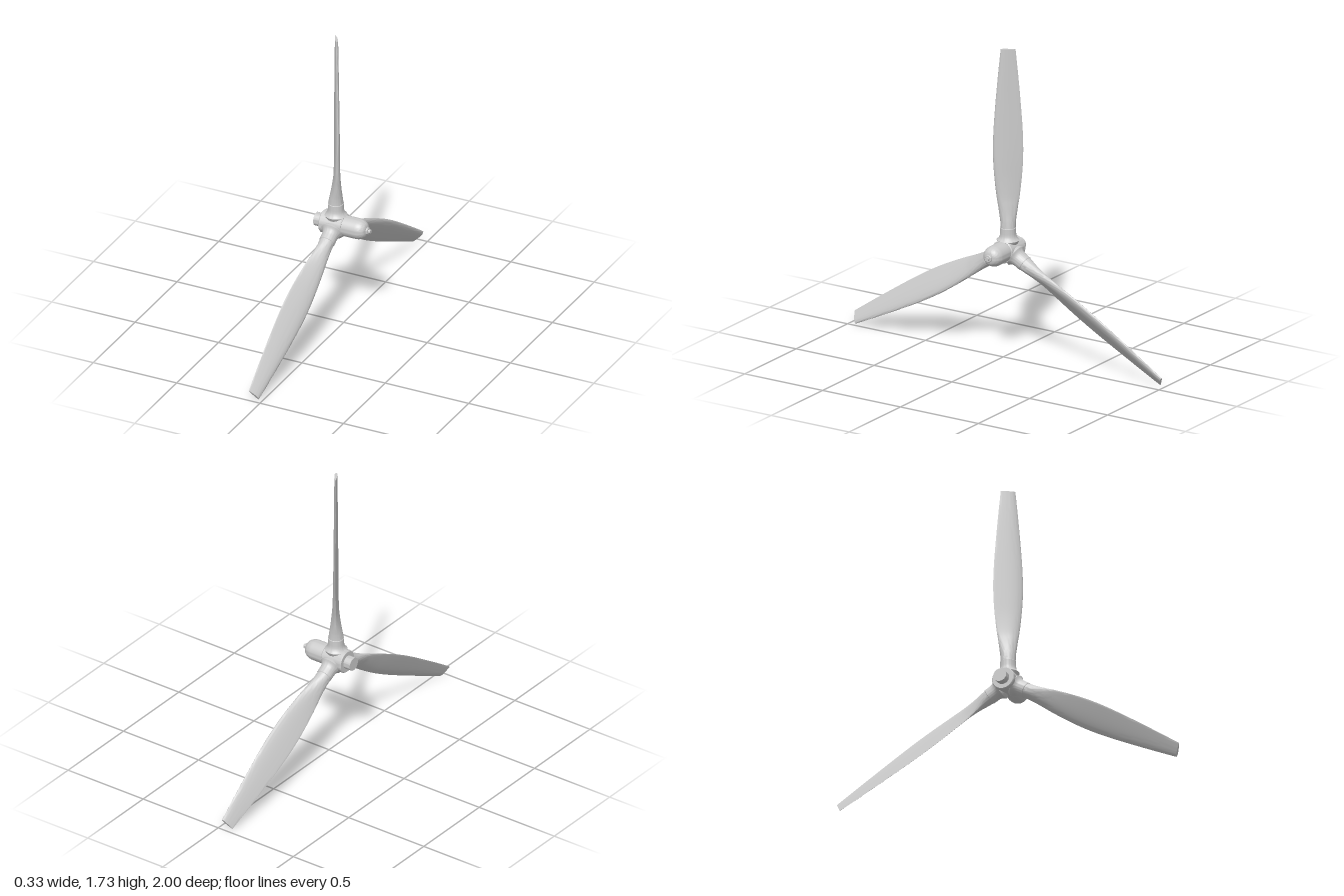
import * as THREE from 'three';
import { toCreasedNormals } from 'three/addons/utils/BufferGeometryUtils.js';

const HUB_Y = 0.602, BLADE_X = -0.047, PITCH = 0.575;
const material = new THREE.MeshStandardMaterial({ color: 0xcccccc });

function part(name, geometry) {
  const mesh = new THREE.Mesh(geometry, material);
  mesh.name = name;
  return mesh;
}

// Turned solid from [radius, height] pairs, bottom to top
function turned(points) {
  const g = new THREE.LatheGeometry(points.map(([r, h]) => new THREE.Vector2(r, h)), 48);
  return toCreasedNormals(g, 0.6);
}

// Turned solid lying along the x axis
const axial = (name, points) => part(name, turned(points).rotateZ(-Math.PI / 2));

// Quarter-ellipse of profile points
function arc(r0, r1, h0, h1, n = 10) {
  return Array.from({ length: n + 1 }, (_, i) => {
    const a = (i / n) * Math.PI / 2;
    return [r1 + (r0 - r1) * Math.cos(a), h0 + (h1 - h0) * Math.sin(a)];
  });
}

// Blade stations: distance from hub axis, half chord, half thickness, round-to-airfoil blend
const STATIONS = [
  [0.125, 0.041, 0.041, 0], [0.16, 0.042, 0.037, 0.1], [0.2, 0.047, 0.031, 0.3],
  [0.25, 0.054, 0.025, 0.6], [0.3, 0.062, 0.020, 0.85], [0.4, 0.073, 0.0165, 1],
  [0.5, 0.080, 0.0155, 1], [0.6, 0.081, 0.0145, 1], [0.7, 0.077, 0.0135, 1],
  [0.8, 0.070, 0.0125, 1], [0.9, 0.062, 0.0115, 1], [1.0, 0.053, 0.0105, 1],
  [1.133, 0.040, 0.009, 1],
];

// Lofted blade: rounded leading edge, thin trailing edge, flatter rear face
function bladeGeometry() {
  const n = 40, pos = [], index = [];
  const curves = [1, 2, 3].map(k => new THREE.SplineCurve(STATIONS.map(s => new THREE.Vector2(s[0], s[k]))));
  const rows = 49;
  for (let i = 0; i < rows; i++) {
    const u = i / (rows - 1);
    const [c, t, m] = curves.map(curve => curve.getPoint(u));
    for (let j = 0; j < n; j++) {
      const a = (j / n) * Math.PI * 2, ca = Math.cos(a), sa = Math.sin(a);
      const foil = (0.78 + 0.45 * ca) * (sa < 0 ? 0.75 : 1.25);
      const along = ca * c.y, across = sa * t.y * (1 + (foil - 1) * m.y);
      pos.push(
        along * Math.sin(PITCH) + across * Math.cos(PITCH),
        c.x,
        along * Math.cos(PITCH) - across * Math.sin(PITCH));
    }
  }
  for (let i = 0; i < rows - 1; i++) {
    for (let j = 0; j < n; j++) {
      const a = i * n + j, b = i * n + (j + 1) % n;
      index.push(a, b, a + n, b, b + n, a + n);
    }
  }
  // Tip cap
  const last = (rows - 1) * n;
  pos.push(0, STATIONS.at(-1)[0], 0);
  for (let j = 0; j < n; j++) index.push(rows * n, last + j, last + (j + 1) % n);
  const g = new THREE.BufferGeometry();
  g.setAttribute('position', new THREE.Float32BufferAttribute(pos, 3));
  g.setIndex(index);
  return toCreasedNormals(g, 0.9);
}

export function createModel() {
  const model = new THREE.Group();
  model.name = 'propeller';
  const rotor = new THREE.Group();
  rotor.name = 'rotor';
  rotor.position.y = HUB_Y;
  model.add(rotor);

  // Hub body, rear shaft, rounded dome and nose fitting
  rotor.add(
    axial('hubBody', [[0, -0.123], [0.06, -0.123], [0.064, -0.118], [0.064, 0.005], [0.06, 0.01], [0, 0.01]]),
    axial('rearShaft', [[0, -0.165], [0.037, -0.165], [0.037, -0.12], [0, -0.12]]),
    axial('noseDome', [[0, 0], [0.057, 0], ...arc(0.057, 0.018, 0.085, 0.14), [0, 0.14]]),
    axial('noseCollar', [[0, 0.13], [0.02, 0.13], [0.02, 0.147], [0.017, 0.15], [0, 0.15]]),
    axial('nosePin', [[0, 0.148], [0.011, 0.148], [0.011, 0.163], [0, 0.163]]),
  );

  // Three blades with filleted sockets
  const blade = bladeGeometry();
  const socket = turned([
    [0, 0], [0.05, 0.03], [0.062, 0.056], [0.054, 0.063], [0.048, 0.071],
    [0.0445, 0.082], [0.0435, 0.095], [0.0435, 0.124], [0.041, 0.126], [0, 0.126],
  ]);
  for (let i = 0; i < 3; i++) {
    const arm = new THREE.Group();
    arm.name = `bladeArm${i + 1}`;
    arm.position.x = BLADE_X;
    arm.rotation.x = (i * Math.PI * 2) / 3;
    arm.add(part('bladeSocket', socket), part('blade', blade));
    rotor.add(arm);
  }
  return model;
}
